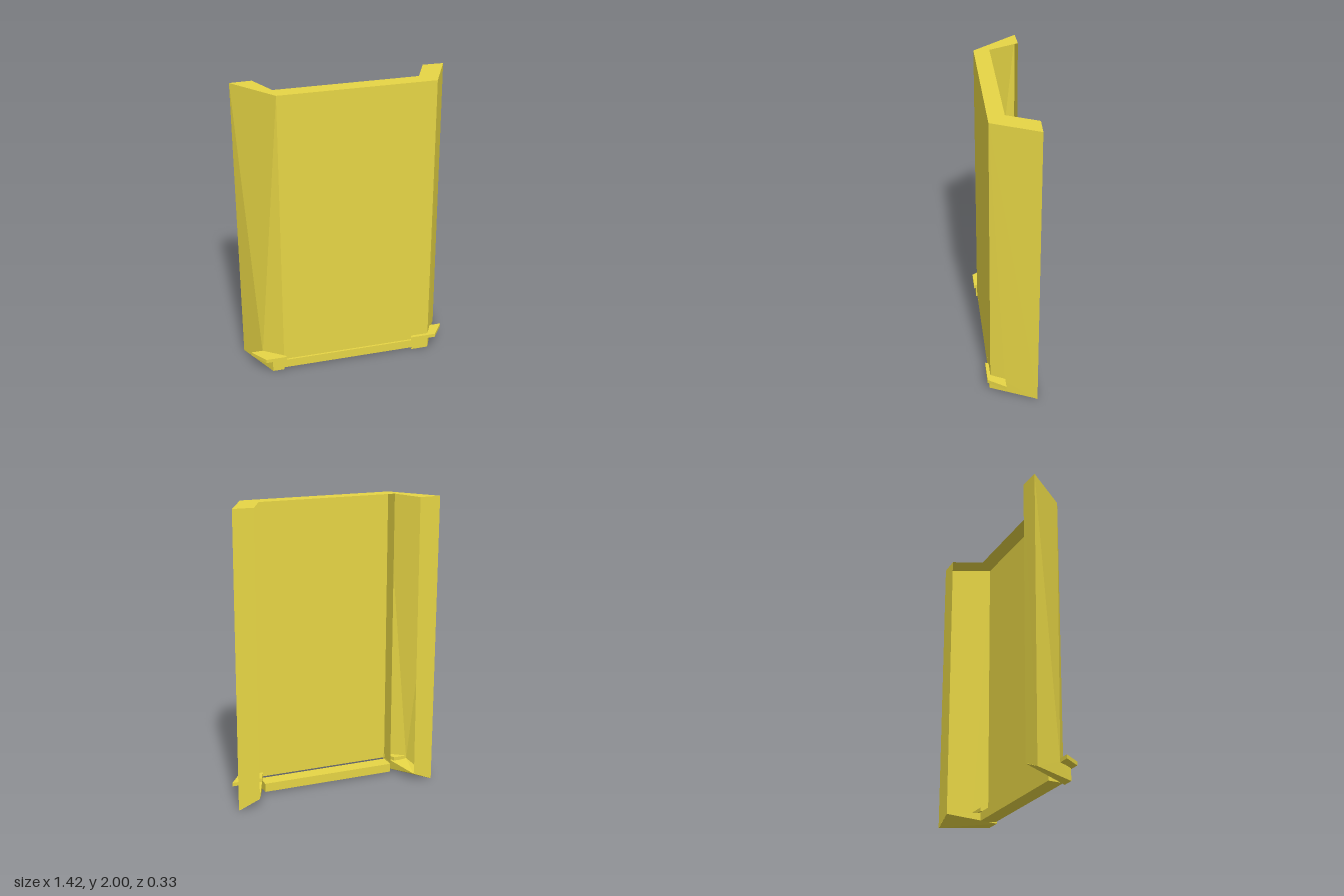
import * as THREE from 'three';
import { ConvexGeometry } from 'three/addons/geometries/ConvexGeometry.js';

const material = new THREE.MeshStandardMaterial({ color: 0xe6d545, flatShading: true, side: THREE.DoubleSide });

function addMesh(group, name, geometry) {
  const mesh = new THREE.Mesh(geometry, material);
  mesh.name = name;
  group.add(mesh);
  return mesh;
}

// Folded sheet, open at the back, with a cap on top and a strip down each flange
function channelGeometry() {
  const outerTop = [[-0.715, 2, -0.16], [-0.48, 2, 0.14], [0.56, 2, 0.14], [0.705, 2, -0.16]];
  const innerTop = [[-0.57, 2, -0.165], [-0.48, 2, 0.035], [0.47, 2, 0.035], [0.565, 2, -0.165]];
  const innerLow = [[-0.57, 0.06, -0.165], [-0.48, 0.08, 0.035], [0.47, 0.08, 0.035], [0.565, 0.06, -0.165]];
  const [backRight, sideRight, frontRight, frontLeft, sideLeft, backLeft] = [
    [-0.705, 0, -0.16], [-0.61, 0.09, 0.045], [-0.48, 0.08, 0.14],
    [0.56, 0.08, 0.14], [0.61, 0.09, 0.045], [0.71, 0, -0.16]];
  const positions = [];
  const tri = (a, b, c) => positions.push(...a, ...b, ...c);
  const quad = (a, b, c, d) => { tri(a, b, d); tri(b, c, d); };

  // Right flange, twisted towards its lower corner
  tri(backRight, sideRight, outerTop[0]);
  tri(sideRight, outerTop[1], outerTop[0]);
  tri(sideRight, frontRight, outerTop[1]);
  // Panel and left flange
  quad(frontRight, frontLeft, outerTop[2], outerTop[1]);
  tri(frontLeft, sideLeft, outerTop[2]);
  quad(sideLeft, backLeft, outerTop[3], outerTop[2]);
  // Cap
  for (let i = 0; i < 3; i++) quad(outerTop[i], outerTop[i + 1], innerTop[i + 1], innerTop[i]);
  // Back strips of the flanges and the web beside the right one
  quad(innerLow[0], backRight, outerTop[0], innerTop[0]);
  quad(backLeft, innerLow[3], innerTop[3], outerTop[3]);
  quad(frontRight, innerLow[1], innerTop[1], outerTop[1]);

  const geometry = new THREE.BufferGeometry();
  geometry.setAttribute('position', new THREE.Float32BufferAttribute(positions, 3));
  geometry.computeVertexNormals();
  return geometry;
}

function convex(points) {
  return new ConvexGeometry(points.map((p) => new THREE.Vector3(...p)));
}

export function createModel() {
  const group = new THREE.Group();
  group.name = 'channelPanel';
  addMesh(group, 'channel', channelGeometry());

  // Sill along the foot of the panel
  const sill = addMesh(group, 'sill', new THREE.BoxGeometry(0.94, 0.06, 0.104));
  sill.position.set(-0.01, 0.04, 0.087);

  for (const side of [-1, 1]) {
    const label = side > 0 ? 'left' : 'right';
    const innerX = side > 0 ? 0.44 : 0.48;

    // Wedge under the corner, tapering to the back of the flange
    addMesh(group, label + 'Toe', convex([
      [0.705, 0, -0.16], [0.56, 0, 0.147], [innerX, 0, 0.147],
      [innerX, 0.08, 0.147], [0.56, 0.08, 0.147], [0.61, 0.09, 0.045],
      [0.5, 0.08, 0.06], [0.565, 0.06, -0.165],
    ].map(([x, y, z]) => [x * side, y, z])));

    // Thin plate sticking out round the corner
    const inner = side > 0 ? 0.43 : 0.465;
    const plan = [[0.69, 0.045], [0.608, 0.163], [inner, 0.163], [inner + 0.05, 0.045]];
    addMesh(group, label + 'FootPlate', convex([0.085, 0.11].flatMap(
      (y) => plan.map(([x, z]) => [x * side, y, z]))));
  }
  return group;
}
